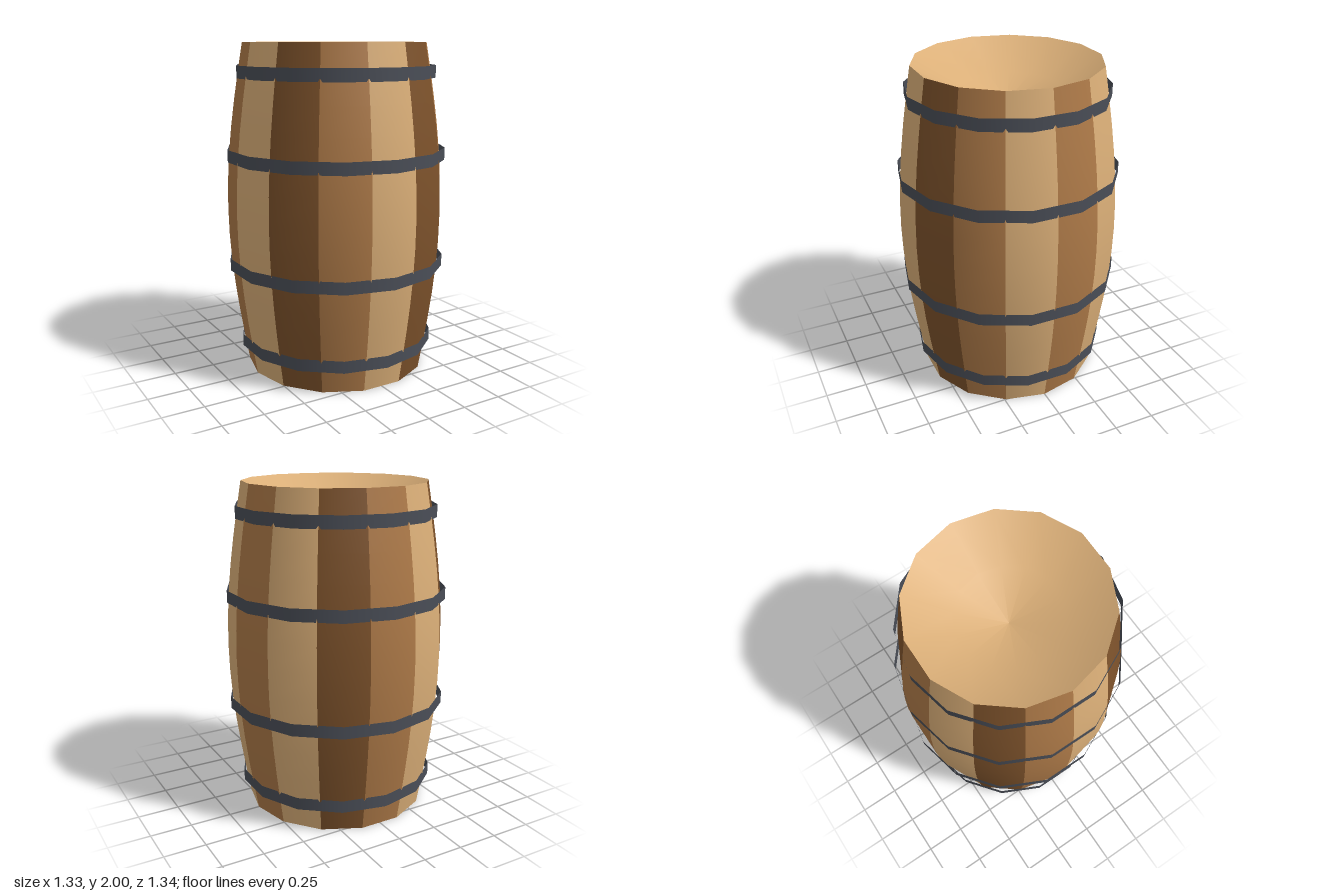
import * as THREE from 'three';

const SIDES = 14, HEIGHT = 2, END_RADIUS = 0.555, BULGE = 0.11;
const STEP = (Math.PI * 2) / SIDES;

// Barrel radius at height y
const radiusAt = (y) => END_RADIUS + BULGE * Math.sin((Math.PI * y) / HEIGHT);

const colour = (name, color, extra = {}) => {
  const material = new THREE.MeshStandardMaterial({ color, ...extra });
  material.name = name;
  return material;
};

// One bowed plank: a tall strip wrapped onto side k of the barrel, shaded round
function staveGeometry(k) {
  const geometry = new THREE.PlaneGeometry(1, HEIGHT, 1, 12);
  const { position, normal } = geometry.attributes;
  const n = new THREE.Vector3();
  for (let i = 0; i < position.count; i++) {
    const angle = (k + 0.5 - position.getX(i)) * STEP;
    const y = position.getY(i) + HEIGHT / 2;
    const r = radiusAt(y);
    const slope = ((BULGE * Math.PI) / HEIGHT) * Math.cos((Math.PI * y) / HEIGHT);
    position.setXYZ(i, r * Math.cos(angle), y, r * Math.sin(angle));
    n.set(Math.cos(angle), -slope, Math.sin(angle)).normalize();
    normal.setXYZ(i, n.x, n.y, n.z);
  }
  return geometry;
}

export function createModel() {
  const group = new THREE.Group();
  group.name = 'barrel';

  const lightWood = colour('light wood', 0xdbaf78);
  const midWood = colour('mid wood', 0xae7a48);
  const darkWood = colour('dark wood', 0x7d522b);
  const iron = colour('iron', 0x4a4e57, { side: THREE.DoubleSide });

  const add = (name, geometry, material) => {
    const mesh = new THREE.Mesh(geometry, material);
    mesh.name = name;
    group.add(mesh);
    return mesh;
  };

  // Staves in three repeating wood tones
  const woods = [lightWood, midWood, darkWood];
  for (let k = 0; k < SIDES; k++) add(`stave${k + 1}`, staveGeometry(k), woods[k % 3]);

  // Lid dished smoothly down from the rim to the middle
  const lidProfile = [[END_RADIUS, HEIGHT], [0.3, HEIGHT - 0.16], [0, HEIGHT - 0.24]]
    .map(([r, y]) => new THREE.Vector2(r, y));
  add('lid', new THREE.LatheGeometry(lidProfile, SIDES).rotateY(Math.PI / 2), lightWood);

  // Flat base
  add('base', new THREE.CircleGeometry(END_RADIUS, SIDES).rotateX(Math.PI / 2), darkWood);

  // Thin hoops, their corners turned half a side from the staves
  [0.178, 0.673, 1.34, 1.83].forEach((y, i) => {
    const r = radiusAt(y) + 0.018;
    add(`hoop${i + 1}`, new THREE.CylinderGeometry(r, r, 0.074, SIDES, 1, true), iron).position.y = y;
  });

  return group;
}
